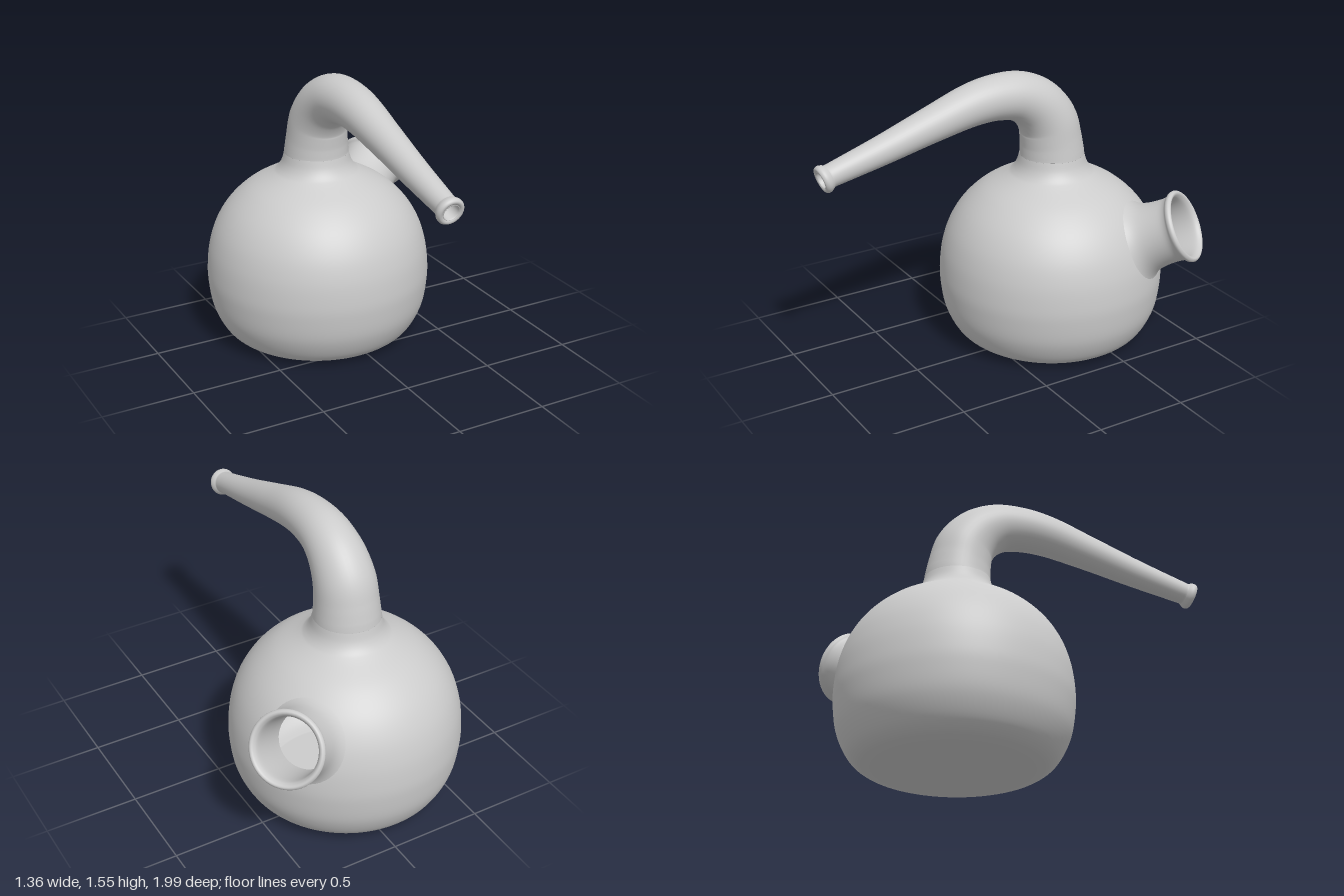
import * as THREE from 'three';

const CX = -0.065, CZ = -0.385; // vertical axis of the vessel
const material = new THREE.MeshStandardMaterial({ color: 0xcccccc, side: THREE.DoubleSide });

// Spout axis: starts in the middle of the body, rises out to the back left
const spoutOrigin = new THREE.Vector3(0, 0.38, 0);
const elevation = 0.454, azimuth = 0.637;
const spoutDir = new THREE.Vector3(
  Math.cos(elevation) * Math.cos(azimuth), Math.sin(elevation), -Math.cos(elevation) * Math.sin(azimuth));

const smooth = (pairs, n) => new THREE.SplineCurve(pairs.map(p => new THREE.Vector2(...p))).getPoints(n);

function part(name, geometry) {
  const mesh = new THREE.Mesh(geometry, material);
  mesh.name = name;
  return mesh;
}

// Removes the triangles inside the spout bore
function cutSpoutHole(geometry, radius) {
  const pos = geometry.attributes.position, index = geometry.index.array, kept = [];
  const c = new THREE.Vector3(), v = new THREE.Vector3();
  for (let i = 0; i < index.length; i += 3) {
    c.set(0, 0, 0);
    for (let k = 0; k < 3; k++) c.add(v.fromBufferAttribute(pos, index[i + k]));
    c.divideScalar(3).sub(spoutOrigin);
    const along = c.dot(spoutDir);
    const off = c.addScaledVector(spoutDir, -along).length();
    if (along < 0 || off > radius) kept.push(index[i], index[i + 1], index[i + 2]);
  }
  geometry.setIndex(kept);
  return geometry;
}

// Round body with a flat base, flaring up into the neck
function makeBody() {
  const profile = [new THREE.Vector2(0, 0.005), ...smooth([
    [0.41, 0.005], [0.48, 0.025], [0.54, 0.08], [0.592, 0.19], [0.613, 0.32], [0.614, 0.42],
    [0.598, 0.54], [0.558, 0.66], [0.488, 0.77], [0.385, 0.865], [0.255, 0.94],
    [0.215, 0.97], [0.19, 1.01], [0.176, 1.06]], 72)];
  const body = part('body', cutSpoutHole(new THREE.LatheGeometry(profile, 96), 0.175));
  body.position.set(CX, 0, CZ);
  return body;
}

// Short wide spout with a rolled lip and an open bore
function makeSpout() {
  const profile = smooth([
    [0.25, 0.55], [0.212, 0.585], [0.187, 0.63], [0.175, 0.69], [0.172, 0.77], [0.18, 0.808],
    [0.194, 0.826], [0.196, 0.842], [0.184, 0.854], [0.168, 0.845], [0.156, 0.81],
    [0.15, 0.7], [0.15, 0.565]], 60);
  const spout = part('spout', new THREE.LatheGeometry(profile, 48));
  spout.quaternion.setFromUnitVectors(new THREE.Vector3(0, 1, 0), spoutDir);
  spout.position.copy(spoutOrigin).add(new THREE.Vector3(CX, 0, CZ));
  return spout;
}

// Tapering bent handle, swept in the x = CX plane, with a beaded hollow tip
function makeHandle() {
  // each station is (radius, y, z)
  const path = new THREE.CatmullRomCurve3([
    [0.176, 1.06, -0.385], [0.167, 1.15, -0.375], [0.16, 1.25, -0.352], [0.147, 1.35, -0.28],
    [0.133, 1.413, -0.175], [0.123, 1.432, -0.05], [0.113, 1.42, 0.1], [0.094, 1.354, 0.35],
    [0.077, 1.275, 0.62], [0.06, 1.195, 0.92]].map(p => new THREE.Vector3(...p)));
  const rings = [], steps = 56;
  for (let i = 0; i <= steps; i++) {
    const p = path.getPoint(i / steps), t = path.getTangent(i / steps);
    rings.push({ r: p.x, c: new THREE.Vector3(CX, p.y, p.z), t: new THREE.Vector3(0, t.y, t.z).normalize() });
  }
  rings[0].t.set(0, 1, 0);
  const end = rings[steps], endDir = new THREE.Vector3(0, -0.3, 0.954).normalize();
  end.t.copy(endDir);
  // bead, then back down the bore
  const tip = smooth([[0.061, 0.008], [0.067, 0.018], [0.073, 0.032], [0.073, 0.045], [0.066, 0.056], [0.056, 0.058],
    [0.046, 0.052], [0.041, 0.035], [0.041, -0.15]], 28);
  tip.push(new THREE.Vector2(0.0005, -0.15));
  for (const p of tip) rings.push({ r: p.x, c: end.c.clone().addScaledVector(endDir, p.y), t: endDir });

  const sides = 40, pos = [], index = [], xAxis = new THREE.Vector3(1, 0, 0);
  rings.forEach(({ r, c, t }, i) => {
    const n = new THREE.Vector3().crossVectors(t, xAxis);
    for (let j = 0; j < sides; j++) {
      const a = j / sides * Math.PI * 2;
      const v = c.clone().addScaledVector(xAxis, r * Math.cos(a)).addScaledVector(n, r * Math.sin(a));
      pos.push(v.x, v.y, v.z);
      if (i === 0) continue;
      const b = i * sides, k = (j + 1) % sides, l = b - sides;
      index.push(l + j, l + k, b + j, l + k, b + k, b + j);
    }
  });
  const geometry = new THREE.BufferGeometry();
  geometry.setAttribute('position', new THREE.Float32BufferAttribute(pos, 3));
  geometry.setIndex(index);
  geometry.computeVertexNormals();
  return part('handle', geometry);
}

export function createModel() {
  const group = new THREE.Group();
  group.name = 'vessel';
  group.add(makeBody(), makeSpout(), makeHandle());
  return group;
}
